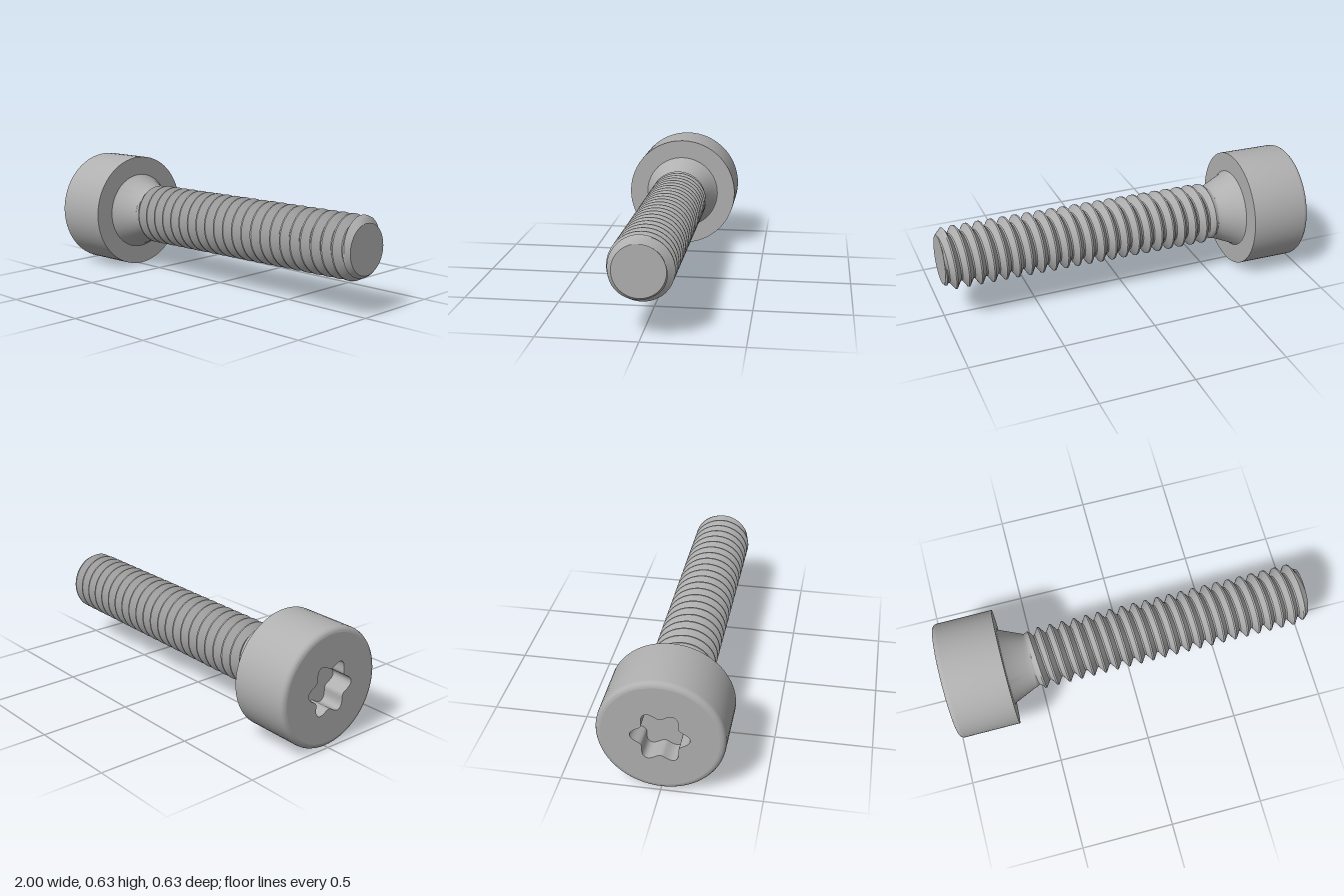
import * as THREE from 'three';
import { toCreasedNormals } from 'three/addons/utils/BufferGeometryUtils.js';

const START = -0.996, END = 0.998;          // ends of the screw along its axis (x)
const HEAD_R = 0.315, NECK_R = 0.148, NECK_X = -0.53;
const CREST_R = 0.165, ROOT_R = 0.127, TIP_R = 0.13, PITCH = 0.0667, CREST_X = -0.436;
const SOCKET_DEPTH = 0.12;

// Closed-around surface; fn(a, v) returns [x, radius] for angle a (0 = up, quarter turn = front)
function tubeSurface(nu, nv, fn) {
  const pos = [], index = [];
  for (let j = 0; j <= nv; j++) {
    for (let i = 0; i <= nu; i++) {
      const a = (i / nu) * Math.PI * 2;
      const [x, r] = fn(a, j);
      pos.push(x, r * Math.cos(a), r * Math.sin(a));
      if (i < nu && j < nv) {
        const p = j * (nu + 1) + i, q = p + nu + 1;
        index.push(p, p + 1, q + 1, p, q + 1, q);
      }
    }
  }
  // drop the collapsed triangles at clipped ends
  const v = (k) => new THREE.Vector3().fromArray(pos, k * 3);
  const kept = [];
  for (let k = 0; k < index.length; k += 3) {
    const t = index.slice(k, k + 3);
    if (new THREE.Triangle(v(t[0]), v(t[1]), v(t[2])).getArea() > 1e-9) kept.push(...t);
  }
  const g = new THREE.BufferGeometry();
  g.setAttribute('position', new THREE.Float32BufferAttribute(pos, 3));
  g.setIndex(kept);
  return toCreasedNormals(g, 0.6);
}

// Radius of the thread at a point, with run-out at the neck and a chamfer at the tip
function threadRadius(x, a) {
  const turns = (x - CREST_X) / PITCH - a / (Math.PI * 2);
  const d = Math.abs(turns - Math.round(turns));
  const f = THREE.MathUtils.clamp((d - 0.0625) / 0.375, 0, 1);
  const full = THREE.MathUtils.lerp(CREST_R, ROOT_R, f);
  const runOut = THREE.MathUtils.clamp((x - NECK_X) / 0.04, 0, 1);
  return Math.min(THREE.MathUtils.lerp(NECK_R, full, runOut), TIP_R + (END - x));
}

// Six-lobed socket outline, lobes pointing sideways
const socketRadius = (a) => 0.106 + 0.04 * (0.5 + 0.5 * Math.cos(6 * a));
function socketPoints() {
  const pts = [];
  for (let i = 0; i < 72; i++) {
    const a = (i / 72) * Math.PI * 2, r = socketRadius(a);
    pts.push(new THREE.Vector2(r * Math.cos(a), r * Math.sin(a)));
  }
  return pts;
}

export function createModel() {
  const steel = new THREE.MeshStandardMaterial({ color: 0xb0b0b0 });
  steel.name = 'steel grey';
  const screw = new THREE.Group();
  screw.name = 'screw';
  const add = (name, geometry, x = 0) => {
    const mesh = new THREE.Mesh(geometry, steel);
    mesh.name = name;
    mesh.position.x = x;
    screw.add(mesh);
  };

  // Head with rounded rim, underside, tapered collar and neck
  const bevel = 0.028, profile = [];
  for (let i = 0; i <= 5; i++) {
    const t = (i / 5) * Math.PI / 2;
    profile.push([HEAD_R - bevel + bevel * Math.sin(t), START + bevel - bevel * Math.cos(t)]);
  }
  profile.push([HEAD_R, -0.667], [0.212, -0.667], [0.203, -0.66], [0.157, -0.555], [0.15, -0.54], [NECK_R, NECK_X]);
  const head = new THREE.LatheGeometry(profile.map(([r, x]) => new THREE.Vector2(r, x)), 64);
  head.rotateZ(-Math.PI / 2);
  add('headAndNeck', toCreasedNormals(head, 0.6));

  // Flat face of the head around the socket
  const disc = new THREE.Shape();
  disc.absarc(0, 0, HEAD_R - bevel, 0, Math.PI * 2);
  disc.holes.push(new THREE.Path(socketPoints().reverse()));
  add('headFace', new THREE.ShapeGeometry(disc, 32).rotateY(-Math.PI / 2), START);

  // Socket walls and floor
  add('socketWalls', tubeSurface(72, 1, (a, j) =>
    [START + (j ? 0 : SOCKET_DEPTH), socketRadius(a - Math.PI / 2)]));
  add('socketFloor', new THREE.ShapeGeometry(new THREE.Shape(socketPoints())).rotateY(-Math.PI / 2),
    START + SOCKET_DEPTH);

  // Right-hand thread: rows follow the helix and are clipped at both ends
  const rows = 8, turns = Math.ceil((END - NECK_X) / PITCH) + 3;
  const first = CREST_X - 3 * PITCH;
  add('thread', tubeSurface(56, turns * rows, (a, j) => {
    const along = first + PITCH * ((j + 0.5) / rows + a / (Math.PI * 2));
    const x = THREE.MathUtils.clamp(along, NECK_X, END);
    return [x, threadRadius(x, a)];
  }));

  // Flat end of the shank
  add('tip', new THREE.CircleGeometry(TIP_R, 56).rotateY(Math.PI / 2), END);

  // The axis rises slightly towards the tip
  screw.rotation.z = 0.0145;
  screw.position.y = 0.329;
  const model = new THREE.Group();
  model.name = 'socketHeadScrew';
  model.add(screw);
  return model;
}
